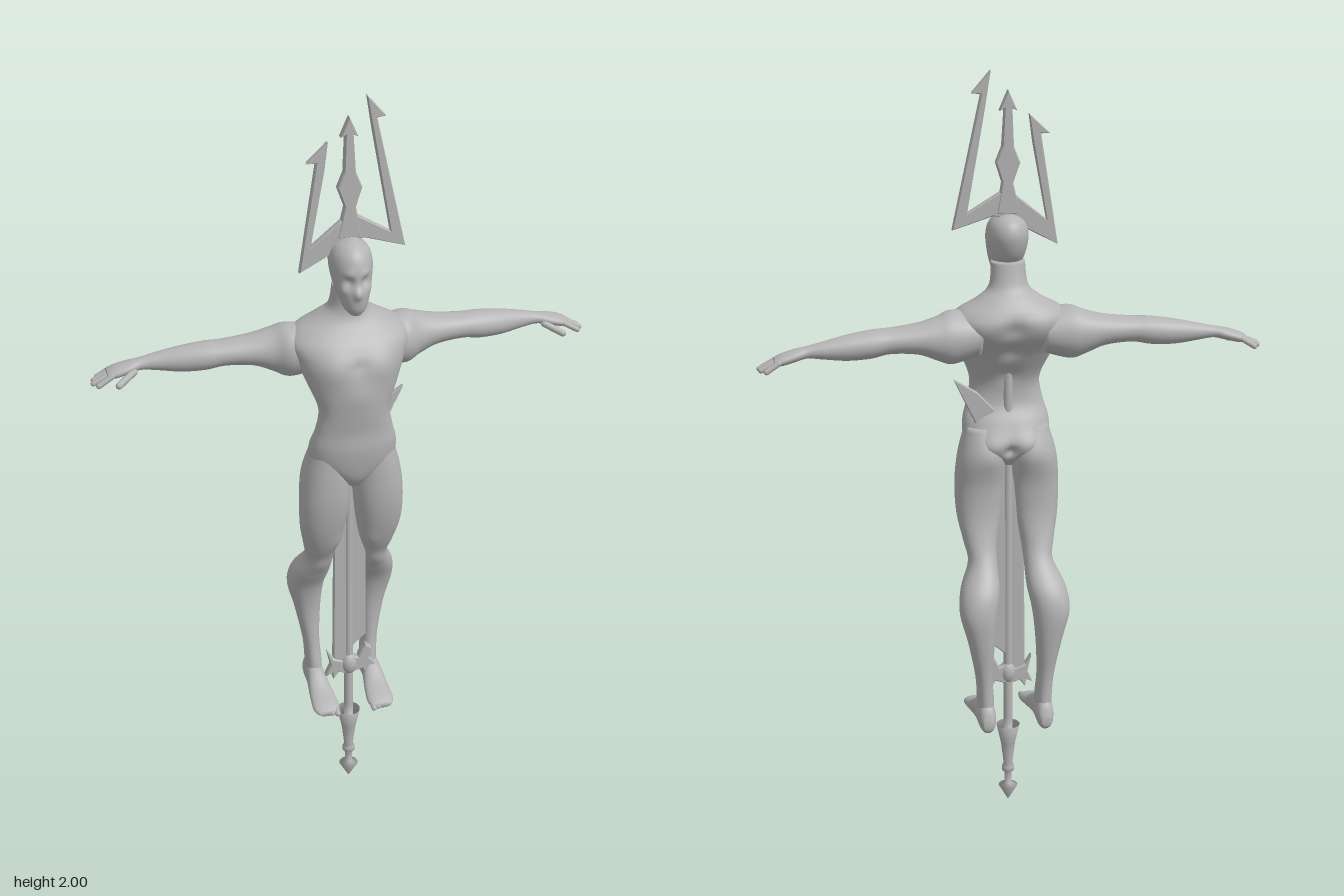
import * as THREE from 'three';

const grey = new THREE.MeshStandardMaterial({ color: 0xb4b4b4 });
grey.name = 'stoneGrey';

// Smooth interpolation of section rows
function spline(rows, steps) {
  const out = [], n = rows.length;
  for (let i = 0; i < n - 1; i++) {
    const p0 = rows[Math.max(i - 1, 0)], p1 = rows[i], p2 = rows[i + 1], p3 = rows[Math.min(i + 2, n - 1)];
    for (let s = 0; s < steps; s++) {
      const t = s / steps;
      out.push(p1.map((b, k) => b + 0.5 * t * (p2[k] - p0[k] +
        t * (2 * p0[k] - 5 * b + 4 * p2[k] - p3[k] + t * (3 * (b - p2[k]) + p3[k] - p0[k])))));
    }
  }
  out.push(rows[n - 1]);
  return out;
}

// Rounded body lofted along an axis. Row: [position, aMin, aMax, bMin, bMax].
// Bumps [x, y, z, radius, height] swell or dent the skin, on both sides of x = 0.
function loft(axis, rows, { side = 1, bumps = [], seg = 40, steps = 5, power = 2.2 } = {}) {
  const place = { x: (t, a, b) => [t, a, b], y: (t, a, b) => [a, t, b], z: (t, a, b) => [a, b, t] }[axis];
  const rings = spline(rows, steps), pos = [], idx = [];
  const put = (t, a, b) => { const p = place(t, a, b); pos.push(p[0] * side, p[1], p[2]); };
  for (const [t, a0, a1, b0, b1] of rings) {
    for (let j = 0; j < seg; j++) {
      const q = j / seg * Math.PI * 2, c = Math.cos(q), s = Math.sin(q);
      const da = Math.sign(c) * Math.abs(c) ** (2 / power), db = Math.sign(s) * Math.abs(s) ** (2 / power);
      const a = (a0 + a1) / 2 + da * (a1 - a0) / 2, b = (b0 + b1) / 2 + db * (b1 - b0) / 2;
      const [x, y, z] = place(t, a, b);
      let push = 0;
      for (const [bx, by, bz, r, h] of bumps)
        push += h * Math.exp(-((Math.abs(x) - bx) ** 2 + (y - by) ** 2 + (z - bz) ** 2) / (r * r));
      put(t, a + c * push, b + s * push);
    }
  }
  const last = rings.length - 1, tip = pos.length / 3;
  for (const r of [rings[0], rings[last]]) put(r[0], (r[1] + r[2]) / 2, (r[3] + r[4]) / 2);
  for (let j = 0; j < seg; j++) {
    const k = (j + 1) % seg;
    for (let i = 0; i < last; i++) {
      const a = i * seg + j, b = i * seg + k;
      idx.push(a, a + seg, b, b, a + seg, b + seg);
    }
    idx.push(tip, j, k, tip + 1, last * seg + k, last * seg + j);
  }
  // Turn the faces outward
  let volume = 0;
  const v = i => new THREE.Vector3().fromArray(pos, i * 3);
  for (let i = 0; i < idx.length; i += 3) volume += v(idx[i]).dot(v(idx[i + 1]).cross(v(idx[i + 2])));
  if (volume < 0) idx.reverse();
  const g = new THREE.BufferGeometry();
  g.setAttribute('position', new THREE.Float32BufferAttribute(pos, 3));
  g.setIndex(idx);
  g.computeVertexNormals();
  return g;
}

// Flat metal piece with bevelled edges, centred on the weapon's plane
function plate(points, depth = 0.012, bevel = 0.003) {
  const g = new THREE.ExtrudeGeometry(new THREE.Shape(points.map(p => new THREE.Vector2(...p))), {
    depth, bevelEnabled: true, bevelThickness: 0.004, bevelSize: bevel, bevelOffset: -bevel, bevelSegments: 1 });
  return g.translate(0, 0, 0.016 - depth / 2);
}

// Tapered finger between two points
function finger(from, to, r) {
  const a = new THREE.Vector3(...from), b = new THREE.Vector3(...to), d = b.clone().sub(a);
  const g = new THREE.CapsuleGeometry(r, d.length() - r, 4, 10);
  g.applyQuaternion(new THREE.Quaternion().setFromUnitVectors(new THREE.Vector3(0, 1, 0), d.normalize()));
  return g.translate(...a.add(b).multiplyScalar(0.5).toArray());
}

export function createModel() {
  const model = new THREE.Group();
  model.name = 'figureWithTrident';
  const add = (name, geometry) => {
    const m = new THREE.Mesh(geometry, grey);
    m.name = name;
    model.add(m);
  };
  const sym = rows => rows.map(([y, w, b, f]) => [y, -w, w, b, f]);

  // Torso and neck, with chest, belly, seat, shoulder blades and spine
  add('torso', loft('y', sym([
    [0.97, 0.02, 0.01, 0.08], [1.0, 0.06, -0.015, 0.1], [1.04, 0.108, -0.028, 0.112],
    [1.09, 0.113, -0.012, 0.12], [1.14, 0.1, 0.012, 0.121], [1.2, 0.092, 0.008, 0.128],
    [1.27, 0.118, -0.03, 0.127], [1.33, 0.142, -0.07, 0.118], [1.37, 0.155, -0.088, 0.1],
    [1.4, 0.135, -0.08, 0.075], [1.43, 0.082, -0.06, 0.055], [1.46, 0.05, -0.036, 0.05],
    [1.52, 0.043, -0.02, 0.055]]), { seg: 64, steps: 7, bumps: [
    [0.06, 1.325, 0.12, 0.045, 0.01], [0, 1.33, 0.125, 0.014, -0.006], [0, 1.25, 0.13, 0.04, 0.006],
    [0.05, 1.02, -0.03, 0.04, 0.016], [0, 1.02, -0.03, 0.014, -0.02], [0.08, 1.33, -0.08, 0.04, 0.01],
    [0, 1.36, -0.09, 0.025, -0.012], [0, 1.29, -0.05, 0.025, -0.012], [0, 1.22, 0, 0.025, -0.008]] }));

  // Head with brow, eye sockets, nose and jaw
  add('head', loft('y', sym([
    [1.462, 0.015, 0.065, 0.098], [1.48, 0.03, 0.035, 0.108], [1.51, 0.041, 0, 0.112],
    [1.54, 0.049, -0.027, 0.108], [1.58, 0.054, -0.042, 0.104], [1.61, 0.049, -0.038, 0.093],
    [1.63, 0.034, -0.02, 0.073], [1.642, 0.01, 0.012, 0.045]]), { steps: 7, power: 2, seg: 56, bumps: [
    [0.021, 1.553, 0.1, 0.013, -0.01], [0, 1.53, 0.112, 0.011, 0.009], [0, 1.518, 0.114, 0.01, 0.006],
    [0.02, 1.573, 0.1, 0.012, 0.004], [0.03, 1.53, 0.09, 0.012, 0.004]] }));

  for (const side of [1, -1]) {
    const tag = side > 0 ? 'left' : 'right';
    const mirror = p => [p[0] * side, p[1], p[2]];

    // Arm from the shoulder to the knuckles
    add(tag + 'Arm', loft('x', [
      [0.08, 1.285, 1.395, -0.075, 0.06], [0.15, 1.267, 1.405, -0.086, 0.05], [0.19, 1.28, 1.393, -0.085, 0.028],
      [0.24, 1.3, 1.38, -0.08, 0.015], [0.31, 1.306, 1.372, -0.076, 0.005], [0.36, 1.298, 1.37, -0.08, 0],
      [0.42, 1.297, 1.362, -0.08, -0.012], [0.48, 1.305, 1.35, -0.076, -0.028], [0.52, 1.31, 1.341, -0.072, -0.034],
      [0.55, 1.304, 1.335, -0.08, -0.028], [0.585, 1.296, 1.325, -0.085, -0.027], [0.605, 1.297, 1.315, -0.082, -0.032]],
      { side, power: 2 }));

    // Fingers and thumb
    [0.628, 0.64, 0.643, 0.632].forEach((x, i) => {
      const z = -0.08 + i * 0.0155;
      add(tag + 'Finger', finger(mirror([0.59, 1.31, z]), mirror([x, 1.286, z - 0.004 + i * 0.003]), 0.0072));
    });
    add(tag + 'Thumb', finger(mirror([0.535, 1.315, -0.036]), mirror([0.585, 1.291, -0.006]), 0.009));

    // Leg with knee and calf
    add(tag + 'Leg', loft('y', [
      [1.08, 0.015, 0.108, -0.01, 0.1], [1.0, 0.004, 0.13, -0.033, 0.104], [0.92, 0.007, 0.137, -0.02, 0.1],
      [0.84, 0.017, 0.134, -0.02, 0.083], [0.77, 0.032, 0.12, -0.037, 0.055], [0.72, 0.036, 0.112, -0.062, 0.028],
      [0.66, 0.037, 0.138, -0.113, 0], [0.6, 0.047, 0.145, -0.13, -0.032], [0.52, 0.055, 0.125, -0.125, -0.048],
      [0.42, 0.06, 0.105, -0.112, -0.046], [0.35, 0.056, 0.1, -0.11, -0.035], [0.29, 0.058, 0.098, -0.115, -0.025]],
      { side, bumps: [[0.075, 0.7, 0.02, 0.025, 0.006], [0.055, 1.015, -0.03, 0.035, 0.008], [0.045, 0.79, 0.05, 0.03, 0.006]] }));

    // Foot
    add(tag + 'Foot', loft('z', [
      [-0.126, 0.066, 0.09, 0.28, 0.305], [-0.105, 0.055, 0.1, 0.266, 0.345], [-0.04, 0.053, 0.104, 0.272, 0.345],
      [0.02, 0.044, 0.11, 0.27, 0.312], [0.07, 0.04, 0.112, 0.266, 0.295], [0.094, 0.05, 0.1, 0.27, 0.283]],
      { side, seg: 28 }));
    for (let i = 0; i < 5; i++) {
      const x = 0.051 + i * 0.013;
      add(tag + 'Toe', finger(mirror([x, 0.283, 0.06]), mirror([x, 0.274, 0.1 - i * 0.006]), 0.008 - i * 0.0006));
    }
  }

  // Trident head: two barbed outer prongs on a slanted crossbar, and the centre spear
  add('longProng', plate([[0.143, 1.603], [0.069, 1.942], [0.092, 1.945], [0.044, 2.0],
    [0.058, 1.91], [0.105, 1.645], [0.022, 1.695], [0, 1.68], [0, 1.63], [0.04, 1.635]]));
  add('shortProng', plate([[-0.127, 1.557], [0, 1.625], [0, 1.68], [-0.022, 1.685],
    [-0.098, 1.622], [-0.062, 1.82], [-0.053, 1.89], [-0.106, 1.84], [-0.083, 1.84]]));
  add('centreProng', plate([[0, 1.95], [-0.022, 1.9], [-0.01, 1.905], [-0.014, 1.81], [-0.03, 1.77],
    [-0.012, 1.72], [-0.03, 1.64], [0.03, 1.64], [0.016, 1.72], [0.032, 1.77], [0.016, 1.81], [0.01, 1.905], [0.022, 1.9]], 0.016));

  // Shaft and blade running through the figure
  add('shaft', new THREE.CylinderGeometry(0.012, 0.012, 1.45, 16).translate(0, 0.925, 0.016));
  add('blade', plate([[-0.045, 0.41], [-0.012, 0.38], [0.012, 0.44], [0.046, 0.47], [0.044, 0.9], [0.09, 1.1],
    [0.143, 1.213], [0.08, 1.175], [0.03, 1.12], [-0.01, 1.05], [-0.04, 0.92]], 0.008));

  // Horned guard with a central boss
  add('guard', plate([[-0.062, 0.43], [-0.045, 0.405], [-0.02, 0.395], [0, 0.41], [0.025, 0.4], [0.045, 0.44],
    [0.062, 0.425], [0.055, 0.395], [0.074, 0.37], [0.055, 0.368], [0.045, 0.345], [0.036, 0.362], [0, 0.35],
    [-0.03, 0.36], [-0.045, 0.34], [-0.048, 0.36], [-0.066, 0.352], [-0.052, 0.385]], 0.016));
  add('boss', new THREE.SphereGeometry(0.022, 20, 14).scale(1, 1.5, 1).translate(0, 0.382, 0.018));

  // Pointed pommel
  const profile = [[0, 0], [0.026, 0.045], [0.01, 0.052], [0.01, 0.085], [0.017, 0.09], [0.017, 0.102],
    [0.012, 0.11], [0.018, 0.16], [0.02, 0.175], [0.032, 0.228], [0.013, 0.205], [0.013, 0.25]];
  add('pommel', new THREE.LatheGeometry(profile.map(p => new THREE.Vector2(...p)), 12).translate(0, 0, 0.016));

  return model;
}
